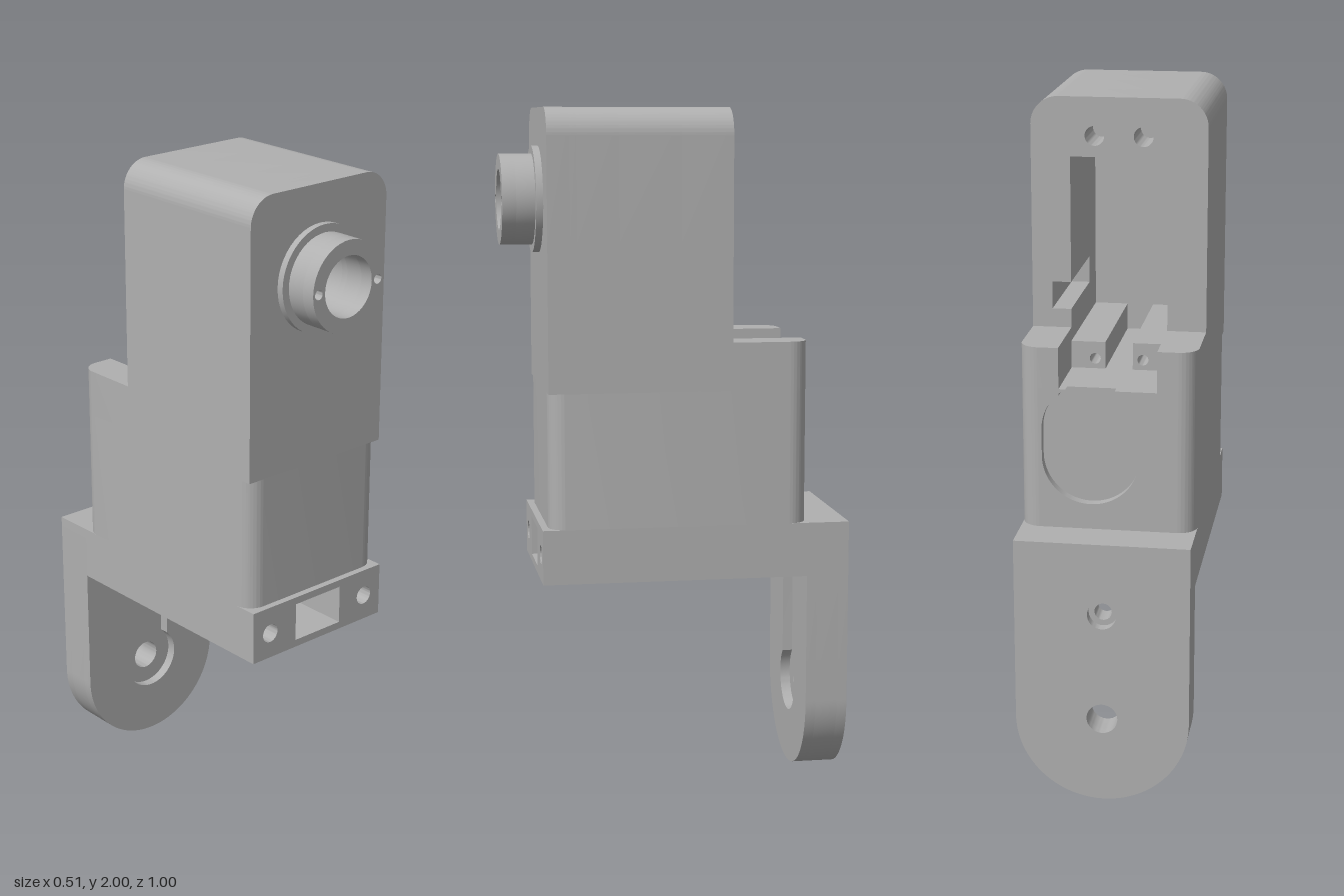
import * as THREE from 'three';
import { toCreasedNormals } from 'three/addons/utils/BufferGeometryUtils.js';

const W = 0.253; // half width of the body

// closed loop of points
const poly = (pts, C = THREE.Path) => new C(pts.map(([x, y]) => new THREE.Vector2(x, y)));
const rect = (x0, y0, x1, y1, C) => poly([[x0, y0], [x1, y0], [x1, y1], [x0, y1], [x0, y0]], C);
const circle = (x, y, r, C = THREE.Path) => new C().absarc(x, y, r, 0, Math.PI * 2);

export function createModel() {
  const model = new THREE.Group();
  const grey = new THREE.MeshStandardMaterial({ color: 0xb0b0b0 });
  grey.name = 'plain grey';

  const add = (name, geo) => {
    const mesh = new THREE.Mesh(toCreasedNormals(geo, 0.5), grey);
    mesh.name = name;
    model.add(mesh);
  };
  const extrude = (shape, depth, holes) => {
    shape.holes.push(...holes);
    return new THREE.ExtrudeGeometry(shape, { depth, bevelEnabled: false, curveSegments: 24 });
  };
  // slice of an x-y shape between two z positions
  const slice = (name, shape, z0, z1, holes = []) =>
    add(name, extrude(shape, z1 - z0, holes).translate(0, 0, z0));
  // plan shape, drawn as (x, -z), raised between two heights
  const raise = (name, shape, y0, y1) =>
    add(name, extrude(shape, y1 - y0, []).rotateX(-Math.PI / 2).translate(0, y0, 0));
  const box = (name, x0, x1, y0, y1, z0, z1) =>
    add(name, new THREE.BoxGeometry(x1 - x0, y1 - y0, z1 - z0)
      .translate((x0 + x1) / 2, (y0 + y1) / 2, (z0 + z1) / 2));

  // Mounting tab with keyhole recess, two holes and a rear counterbore
  const tab = () => {
    const s = new THREE.Shape();
    s.moveTo(W, 0.795);
    s.lineTo(-W, 0.795);
    s.lineTo(-W, W);
    s.absarc(0, W, W, Math.PI, Math.PI * 2);
    s.lineTo(W, 0.795);
    return s;
  };
  const keyhole = new THREE.Path();
  const a = Math.asin(0.067 / 0.097);
  keyhole.absarc(0, 0.257, 0.097, Math.PI / 2 + a, Math.PI * 2.5 - a);
  keyhole.absarc(0, 0.567, 0.067, 0, Math.PI);
  keyhole.closePath();
  slice('mountingTabFront', tab(), -0.405, -0.375, [keyhole]);
  slice('mountingTabCore', tab(), -0.47, -0.405, [circle(0, 0.58, 0.025), circle(0, 0.257, 0.045)]);
  slice('mountingTabBack', tab(), -0.5, -0.47, [circle(0, 0.58, 0.042), circle(0, 0.257, 0.045)]);

  // Base with a rectangular port and two screw holes in front
  const base = () => rect(-W, 0.635, W, 0.795, THREE.Shape);
  const port = () => rect(-0.088, 0.657, 0.088, 0.773);
  slice('baseFront', base(), 0.2, 0.405,
    [port(), circle(-0.188, 0.713, 0.028), circle(0.188, 0.713, 0.028)]);
  slice('baseMiddle', base(), -0.05, 0.2, [port()]);
  box('baseBack', -W, W, 0.635, 0.795, -0.375, -0.05);

  // Lower body with rounded upright edges, notched for the back panel
  const r = 0.055, flat = W - r;
  const plan = new THREE.Shape();
  plan.moveTo(-flat, -0.385);
  plan.lineTo(flat, -0.385);
  plan.absarc(flat, -0.385 + r, r, -Math.PI / 2, 0);
  plan.absarc(flat, 0.375 - r, r, 0, Math.PI / 2);
  plan.lineTo(flat, 0.345);
  plan.lineTo(-flat, 0.345);
  plan.lineTo(-flat, 0.375);
  plan.absarc(-flat, 0.375 - r, r, Math.PI / 2, Math.PI);
  plan.absarc(-flat, -0.385 + r, r, Math.PI, Math.PI * 1.5);
  raise('lowerBody', plan, 0.795, 1.19);

  // Back panel with an oval recess that breaks through its top edge
  const top = 1.21, cy = 1.089, R = 0.14, cx = 0.05;
  const b = Math.asin((top - cy) / R);
  const panel = new THREE.Shape();
  panel.moveTo(-flat, 0.795);
  panel.lineTo(flat, 0.795);
  panel.lineTo(flat, top);
  panel.lineTo(cx + R * Math.cos(b), top);
  panel.absarc(cx, cy, R, b, 0, true);
  panel.absarc(cx, 1.01, R, 0, -Math.PI, true);
  panel.absarc(cx, cy, R, Math.PI, Math.PI - b, true);
  panel.lineTo(-flat, top);
  panel.lineTo(-flat, 0.795);
  slice('backPanel', panel, -0.375, -0.345);
  box('channelSill', -flat, flat, 1.19, top, -0.345, -0.15);

  // Shoulders on both sides of the rear channel
  for (const s of [1, -1]) {
    const wall = new THREE.Shape();
    wall.moveTo(s * 0.14, 0.15);
    wall.lineTo(s * W, 0.15);
    wall.lineTo(s * W, 0.375 - r);
    wall.absarc(s * flat, 0.375 - r, r, s > 0 ? 0 : Math.PI, Math.PI / 2, s < 0);
    wall.lineTo(s * 0.14, 0.375);
    wall.lineTo(s * 0.14, 0.15);
    raise(s > 0 ? 'leftShoulder' : 'rightShoulder', wall, 1.19, 1.33);
  }

  // Upper housing, open at the back, with a groove in its left inner wall
  const c = 0.08;
  const housing = () => {
    const s = new THREE.Shape();
    s.moveTo(-W, 1.19);
    s.lineTo(W, 1.19);
    s.absarc(W - c, 2 - c, c, 0, Math.PI / 2);
    s.absarc(-W + c, 2 - c, c, Math.PI / 2, Math.PI);
    s.lineTo(-W, 1.19);
    return s;
  };
  const grooved = () => poly([[-0.14, top], [0.14, top], [0.14, 1.385], [0.195, 1.385],
    [0.195, 1.465], [0.14, 1.465], [0.14, 1.83], [-0.14, 1.83], [-0.14, top]]);
  slice('housingBack', housing(), -0.15, 0,
    [grooved(), circle(-0.07, 1.89, 0.028), circle(0.07, 1.89, 0.028)]);
  slice('housingMiddle', housing(), 0, 0.18, [grooved()]);
  slice('housingFront', housing(), 0.18, 0.3, [rect(-0.14, top, 0.14, 1.83)]);
  slice('frontWallInner', housing(), 0.3, 0.32);
  slice('frontWall', housing(), 0.32, 0.385, [circle(0, 1.735, 0.088)]);

  // Inner rails with small screw holes
  for (const s of [1, -1]) {
    const x0 = s > 0 ? 0.04 : -0.14;
    slice('innerRailEnd', rect(x0, top, x0 + 0.1, 1.29, THREE.Shape), -0.152, -0.05,
      [circle(s * 0.07, 1.24, 0.016)]);
    box('innerRail', x0, x0 + 0.1, top, 1.29, -0.05, 0.3);
  }

  // Front barrel: collar, bored tube and two pin holes
  const bore = () => circle(0, 1.735, 0.088);
  slice('barrelCollar', circle(0, 1.735, 0.155, THREE.Shape), 0.385, 0.405, [bore()]);
  slice('barrelTube', circle(0, 1.735, 0.132, THREE.Shape), 0.405, 0.46, [bore()]);
  slice('barrelRim', circle(0, 1.735, 0.132, THREE.Shape), 0.46, 0.5,
    [bore(), circle(-0.111, 1.735, 0.014), circle(0.111, 1.735, 0.014)]);

  return model;
}
